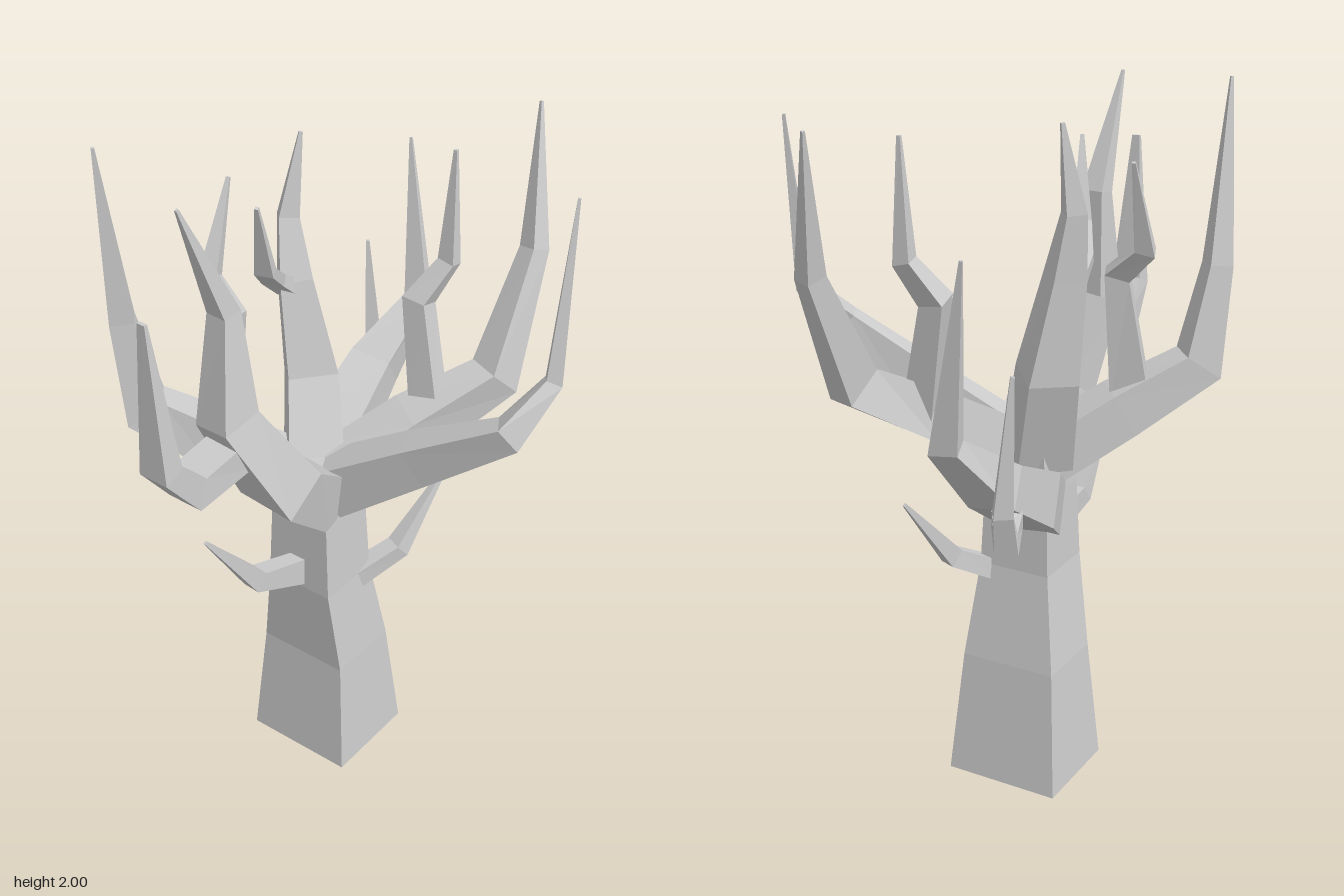
import * as THREE from 'three';

const bark = new THREE.MeshStandardMaterial({ color: 0xcccccc, flatShading: true });

// Four-sided limb through stations [x, y, z, halfWidth, halfDepth].
// "level" keeps every section horizontal; otherwise sections follow the path,
// with their width along the horizontal perpendicular to the limb's heading.
function limb(name, stations, level = false) {
  const pts = stations.map(s => new THREE.Vector3(s[0], s[1], s[2]));
  const last = pts.length - 1;
  const heading = pts[last].clone().sub(pts[0]);
  const side = level
    ? new THREE.Vector3(1, 0, 0)
    : new THREE.Vector3(heading.z, 0, -heading.x).normalize();

  const rings = stations.map((s, i) => {
    const before = pts[i].clone().sub(pts[Math.max(i - 1, 0)]).normalize();
    const after = pts[Math.min(i + 1, last)].clone().sub(pts[i]).normalize();
    const dir = level ? new THREE.Vector3(0, 1, 0) : before.add(after).normalize();
    const depth = side.clone().cross(dir).normalize();
    const width = dir.clone().cross(depth).normalize();
    const w = s[3], d = s[4] ?? s[3];
    return [[1, 1], [1, -1], [-1, -1], [-1, 1]].map(([a, b]) =>
      pts[i].clone().addScaledVector(width, a * w).addScaledVector(depth, b * d));
  });

  const position = [];
  const quad = (a, b, c, d) => [a, b, c, a, c, d].forEach(p => position.push(p.x, p.y, p.z));
  for (let i = 0; i < last; i++) {
    for (let k = 0; k < 4; k++) {
      const n = (k + 1) % 4;
      quad(rings[i][k], rings[i][n], rings[i + 1][n], rings[i + 1][k]);
    }
  }
  quad(...[...rings[0]].reverse());
  quad(...rings[last]);

  const geometry = new THREE.BufferGeometry();
  geometry.setAttribute('position', new THREE.Float32BufferAttribute(position, 3));
  geometry.computeVertexNormals();
  const mesh = new THREE.Mesh(geometry, bark);
  mesh.name = name;
  return mesh;
}

export function createModel() {
  const tree = new THREE.Group();
  tree.name = 'bareTree';

  tree.add(limb('trunk', [
    [-0.11, 0, 0, 0.172, 0.15],
    [-0.108, 0.37, 0.005, 0.143, 0.115],
    [-0.1, 0.65, 0.04, 0.108, 0.1],
    [-0.1, 0.88, 0.04, 0.098, 0.092],
    [-0.1, 1.06, 0.03, 0.085, 0.085],
  ], true));

  const branches = {
    // Front limb with its forward fork
    frontBranch: [
      [-0.09, 0.94, 0.06, 0.09, 0.085], [-0.055, 1.105, 0.26, 0.095, 0.075],
      [-0.115, 1.36, 0.39, 0.058, 0.06], [-0.125, 1.66, 0.37, 0.033, 0.028], [-0.135, 1.98, 0.5, 0.004],
    ],
    frontFork: [
      [-0.1, 1.27, 0.38, 0.055, 0.045], [-0.115, 1.235, 0.55, 0.055, 0.045],
      [-0.11, 1.34, 0.645, 0.045, 0.032], [-0.105, 1.77, 0.67, 0.012, 0.005],
    ],
    // Right limb, leaning forward
    rightBranch: [
      [-0.12, 0.96, 0.04, 0.07], [-0.3, 1.095, 0.19, 0.065, 0.068],
      [-0.475, 1.22, 0.325, 0.05, 0.06], [-0.505, 1.5, 0.355, 0.033, 0.033], [-0.5, 2, 0.4, 0.004],
    ],
    rightFork: [
      [-0.325, 1.12, 0.205, 0.055, 0.035], [-0.3, 1.49, 0.15, 0.035, 0.025],
      [-0.385, 1.57, 0.135, 0.028, 0.022], [-0.39, 1.82, 0.035, 0.005],
    ],
    // Left limb
    leftBranch: [
      [-0.05, 0.98, 0.04, 0.06, 0.08], [0.2, 1.14, -0.015, 0.052, 0.062],
      [0.455, 1.3, -0.055, 0.037, 0.04], [0.515, 1.43, -0.165, 0.025, 0.022], [0.5, 1.91, -0.24, 0.004],
    ],
    // Back left limb with its inner fork
    backLeftBranch: [
      [-0.05, 0.99, 0.02, 0.075, 0.075], [0.08, 1.12, -0.17, 0.068, 0.07],
      [0.22, 1.24, -0.36, 0.05, 0.06], [0.22, 1.57, -0.53, 0.028, 0.03], [0.157, 1.95, -0.62, 0.004],
    ],
    backLeftFork: [
      [0.1, 1.14, -0.215, 0.045, 0.035], [0.03, 1.47, -0.25, 0.035, 0.035],
      [0.085, 1.58, -0.31, 0.025, 0.023], [0.09, 1.9, -0.315, 0.005],
    ],
    // Back right limb, lower on the trunk
    backRightBranch: [
      [-0.13, 0.82, 0.03, 0.07, 0.075], [-0.22, 0.95, -0.2, 0.08, 0.075],
      [-0.25, 1.07, -0.43, 0.065, 0.058], [-0.22, 1.23, -0.615, 0.038, 0.028], [-0.3, 1.71, -0.67, 0.004],
    ],
    backRightFork: [
      [-0.28, 0.985, -0.42, 0.04, 0.028], [-0.33, 0.96, -0.515, 0.03, 0.028],
      [-0.335, 1.05, -0.54, 0.025, 0.02], [-0.36, 1.41, -0.54, 0.005],
    ],
    // Upright crown limb with its forward fork
    crownBranch: [
      [-0.13, 0.98, 0.02, 0.08], [-0.2, 1.25, -0.06, 0.07, 0.065],
      [-0.25, 1.53, -0.06, 0.045, 0.045], [-0.28, 1.7, -0.075, 0.028, 0.025], [-0.26, 1.93, -0.11, 0.005],
    ],
    crownFork: [
      [-0.26, 1.5, -0.05, 0.035, 0.025], [-0.25, 1.56, 0.03, 0.032, 0.016],
      [-0.21, 1.63, 0.11, 0.026, 0.015], [-0.17, 1.85, 0.18, 0.005],
    ],
    // Low twigs
    frontTwig: [
      [-0.1, 0.695, 0.1, 0.025, 0.045], [-0.125, 0.765, 0.3, 0.028, 0.03], [-0.135, 1.0, 0.48, 0.005],
    ],
    backTwig: [
      [-0.02, 0.62, -0.02, 0.03, 0.03], [0.055, 0.69, -0.14, 0.027, 0.027], [0.1, 0.9, -0.31, 0.005],
    ],
  };
  for (const [name, stations] of Object.entries(branches)) tree.add(limb(name, stations));

  return tree;
}
